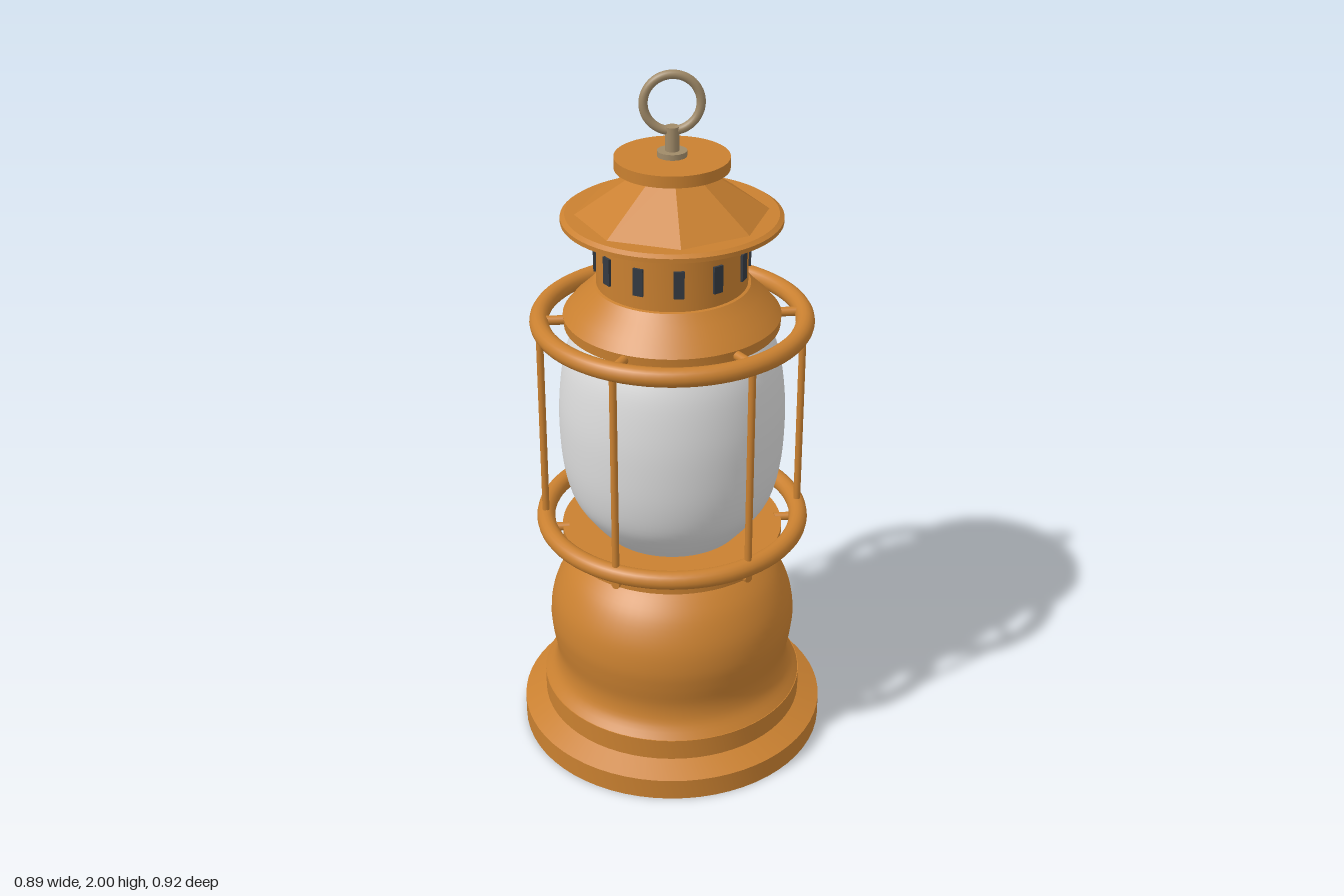
import * as THREE from 'three';
import { toCreasedNormals } from 'three/addons/utils/BufferGeometryUtils.js';

const material = (name, color) => {
  const m = new THREE.MeshStandardMaterial({ color });
  m.name = name;
  return m;
};

export function createModel() {
  const orange = material('orangePaint', 0xc98030);
  const brass = material('dullBrass', 0xa08a68);
  const steel = material('steel', 0x9c9c9c);
  const frosted = material('frostedGlass', 0xdcdcdc);
  const dark = material('darkVent', 0x343a42);

  const model = new THREE.Group();
  model.name = 'lantern';
  const body = new THREE.Group();
  body.name = 'lanternBody';
  body.position.z = 0.014;
  model.add(body);

  const add = (name, geometry, mat, x = 0, y = 0, z = 0, parent = body) => {
    const mesh = new THREE.Mesh(geometry, mat);
    mesh.name = name;
    mesh.position.set(x, y, z);
    parent.add(mesh);
    return mesh;
  };
  const vectors = (points) => points.map(([r, y]) => new THREE.Vector2(r, y));
  const curve = (points, n) => new THREE.SplineCurve(vectors(points)).getPoints(n).map((p) => [p.x, p.y]);
  const lathe = (points) => toCreasedNormals(new THREE.LatheGeometry(vectors(points), 64), 0.45);
  const rod = (r, length) => new THREE.CylinderGeometry(r, r, length, 16);

  // Stepped foot and rounded fuel tank
  add('foot', lathe([[0, 0], [0.443, 0], [0.443, 0.063], [0.38, 0.092], [0.38, 0.155], [0.3, 0.157]]), orange);
  add('tank', lathe(curve([
    [0.378, 0.155], [0.35, 0.195], [0.342, 0.245], [0.352, 0.31], [0.357, 0.37],
    [0.346, 0.44], [0.313, 0.51], [0.27, 0.56], [0.225, 0.595],
  ], 32)), orange);
  add('collar', lathe([[0.228, 0.585], [0.228, 0.612], [0.315, 0.612], [0.315, 0.66], [0, 0.662]]), orange);

  // Frosted globe
  add('globe', lathe(curve([
    [0.2, 0.66], [0.245, 0.715], [0.285, 0.78], [0.307, 0.87], [0.315, 0.98],
    [0.313, 1.08], [0.298, 1.19], [0.272, 1.265], [0.24, 1.32],
  ], 36)), frosted);

  // Cage: two rings joined by six uprights and short radial pegs
  for (const [name, y] of [['lowerCageRing', 0.69], ['upperCageRing', 1.307]]) {
    add(name, new THREE.TorusGeometry(0.362, 0.026, 16, 72).rotateX(Math.PI / 2), orange, 0, y);
  }
  for (let i = 0; i < 6; i++) {
    const spoke = new THREE.Group();
    spoke.name = 'cageSpoke';
    spoke.rotation.y = (i * Math.PI) / 3;
    body.add(spoke);
    add('upright', rod(0.01, 0.62), orange, 0.362, 1, 0, spoke);
    add('lowerPeg', rod(0.012, 0.07).rotateZ(Math.PI / 2), orange, 0.332, 0.654, 0, spoke);
    add('upperPeg', rod(0.013, 0.09).rotateZ(Math.PI / 2), orange, 0.315, 1.31, 0, spoke);
  }

  // Shoulder, vented chimney and brim
  add('shoulder', lathe([
    [0, 1.296], [0.295, 1.296], [0.297, 1.325], [0.272, 1.355], [0.24, 1.385], [0.213, 1.415], [0.2, 1.418],
  ]), orange);
  add('chimney', lathe([[0.205, 1.4], [0.205, 1.575]]), orange);
  for (let i = 0; i < 12; i++) {
    const a = (i * Math.PI) / 6;
    const vent = add('vent', new THREE.BoxGeometry(0.028, 0.076, 0.009), dark,
      0.207 * Math.sin(a), 1.494, 0.207 * Math.cos(a));
    vent.rotation.y = a;
  }
  add('brim', lathe([
    [0.15, 1.565], [0.207, 1.565], [0.235, 1.587], [0.297, 1.594], [0.297, 1.606], [0.285, 1.614], [0, 1.616],
  ]), orange);

  // Eight-sided roof with its flat cap
  const roof = new THREE.CylinderGeometry(0.065, 0.266, 0.135, 8);
  add('roof', toCreasedNormals(roof, 0.1), orange, 0, 1.677);
  add('roofCap', new THREE.CylinderGeometry(0.153, 0.153, 0.032, 64), orange, 0, 1.754);

  // Hanging ring on its stem
  add('stemWasher', rod(0.04, 0.016), brass, 0, 1.777);
  add('stem', rod(0.019, 0.07), brass, 0, 1.815);
  add('hangingRing', new THREE.TorusGeometry(0.075, 0.012, 14, 48), brass, 0, 1.913);

  // Toothed control knob at the back
  const knobShape = new THREE.Shape();
  const teeth = 12;
  for (let i = 0; i < teeth; i++) {
    [[0, 0.085], [0.5, 0.085], [0.62, 0.072], [0.88, 0.072]].forEach(([t, r], j) => {
      const a = ((i + t - 0.25) / teeth) * Math.PI * 2;
      knobShape[i + j ? 'lineTo' : 'moveTo'](r * Math.cos(a), r * Math.sin(a));
    });
  }
  knobShape.closePath();
  const knob = new THREE.Group();
  knob.name = 'controlKnob';
  knob.position.y = 0.353;
  model.add(knob);
  add('knobWheel', new THREE.ExtrudeGeometry(knobShape, { depth: 0.045, bevelEnabled: false }), brass, 0, 0, -0.446, knob);
  add('knobShaft', rod(0.02, 0.11).rotateX(Math.PI / 2), brass, 0, 0, -0.35, knob);
  add('knobPin', rod(0.011, 0.03).rotateX(Math.PI / 2), steel, 0.038, 0, -0.448, knob);

  return model;
}
